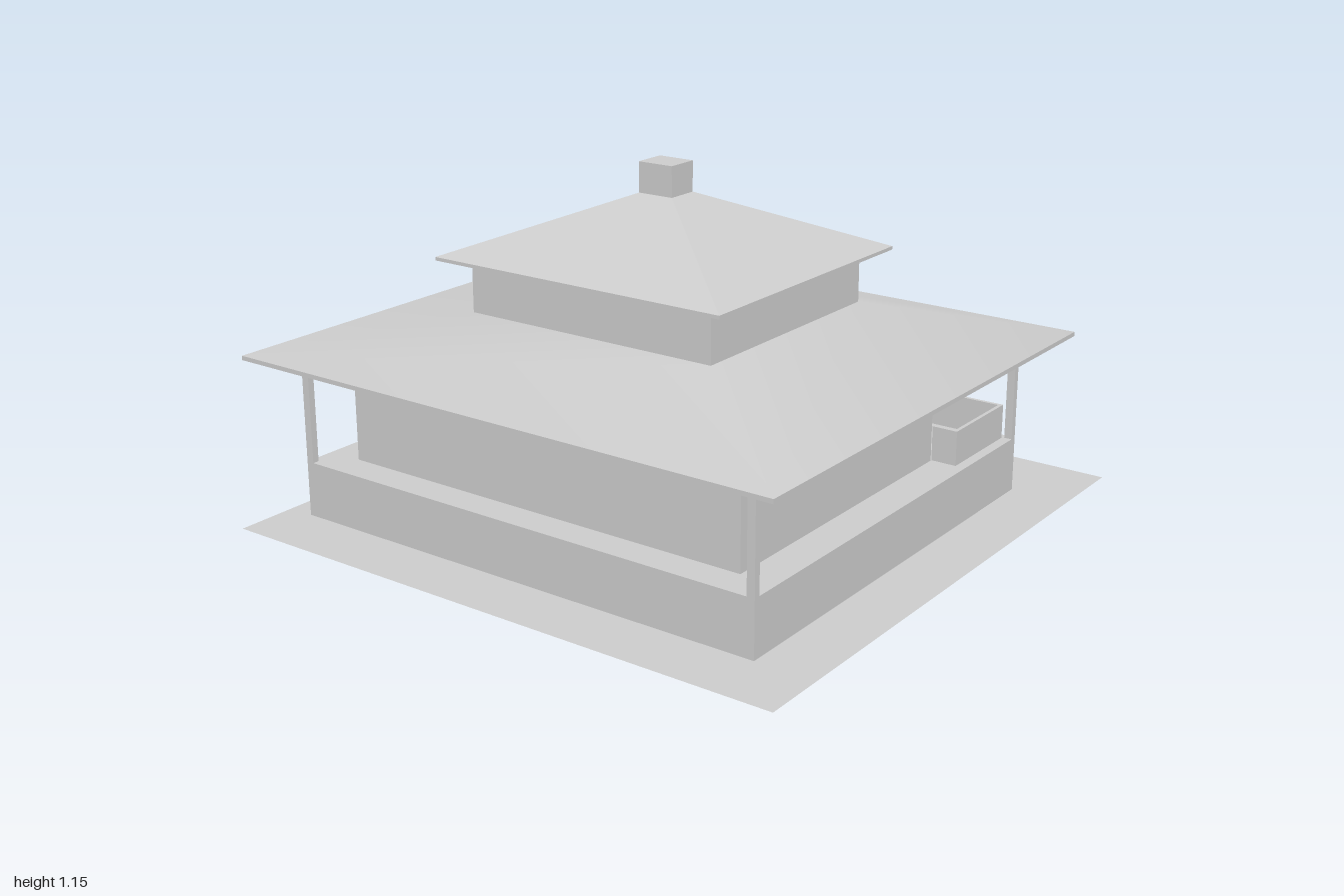
import * as THREE from 'three';
import { toCreasedNormals } from 'three/addons/utils/BufferGeometryUtils.js';

const grey = new THREE.MeshStandardMaterial({ color: 0xcccccc });
const greyDouble = new THREE.MeshStandardMaterial({ color: 0xcccccc, side: THREE.DoubleSide });

// Box given by its min and max on each axis
function box(name, x0, x1, y0, y1, z0, z1) {
  const mesh = new THREE.Mesh(new THREE.BoxGeometry(x1 - x0, y1 - y0, z1 - z0), grey);
  mesh.position.set((x0 + x1) / 2, (y0 + y1) / 2, (z0 + z1) / 2);
  mesh.name = name;
  return mesh;
}

// Hipped roof: flat soffit, thin fascia and four slopes; loops are [y, x0, x1, z half-width]
function hipRoof(name, eaveBottom, eaveTop, top) {
  const ring = ([y, x0, x1, z]) => [[x0, y, z], [x1, y, z], [x1, y, -z], [x0, y, -z]];
  const rings = [eaveBottom, eaveTop, top].map(ring);
  const pos = [];
  const quad = (a, b, c, d) => pos.push(...a, ...b, ...c, ...a, ...c, ...d);
  for (let r = 0; r < 2; r++) {
    for (let i = 0; i < 4; i++) {
      const j = (i + 1) % 4;
      quad(rings[r][i], rings[r][j], rings[r + 1][j], rings[r + 1][i]);
    }
  }
  quad(rings[0][3], rings[0][2], rings[0][1], rings[0][0]);
  const geo = new THREE.BufferGeometry();
  geo.setAttribute('position', new THREE.Float32BufferAttribute(pos, 3));
  const mesh = new THREE.Mesh(toCreasedNormals(geo, 0.5), grey);
  mesh.name = name;
  return mesh;
}

// Upright panel facing +x with rectangular holes [z0, z1, y0, y1]
function panel(name, x0, x1, y0, y1, z0, z1, holes) {
  const rect = (target, a, b, c, d) => {
    target.moveTo(-b, c).lineTo(-a, c).lineTo(-a, d).lineTo(-b, d).closePath();
    return target;
  };
  const shape = rect(new THREE.Shape(), z0, z1, y0, y1);
  shape.holes = holes.map((h) => rect(new THREE.Path(), ...h));
  const geo = new THREE.ExtrudeGeometry(shape, { depth: x1 - x0, bevelEnabled: false });
  geo.rotateY(Math.PI / 2).translate(x0, 0, 0);
  const mesh = new THREE.Mesh(geo, grey);
  mesh.name = name;
  return mesh;
}

export function createModel() {
  const model = new THREE.Group();
  model.name = 'house';

  // Ground sheet
  const ground = new THREE.Mesh(new THREE.PlaneGeometry(2, 2), greyDouble);
  ground.rotation.x = -Math.PI / 2;
  ground.name = 'ground';
  model.add(ground);

  // Plinth and lower storey
  const floor = 0.217;
  const eave = 0.557;
  model.add(box('plinth', -0.855, 0.64, 0.037, floor, -0.843, 0.843));
  model.add(box('lowerWalls', -0.75, 0.297, floor, eave, -0.725, 0.725));

  // Entrance stairs
  const treads = [[0.722, floor], [0.802, 0.171], [0.886, 0.126], [0.973, 0.08]];
  let start = 0.64;
  for (const [end, top] of treads) {
    model.add(box('step', start, end, 0.037, top, -0.238, 0.238));
    start = end;
  }

  // Door with a thin surround
  model.add(box('door', 0.29, 0.299, floor, 0.5, -0.112, 0.112));
  model.add(panel('doorFrame', 0.29, 0.303, 0.222, 0.508, -0.12, 0.12, [[-0.112, 0.112, 0.228, 0.502]]));

  for (const s of [-1, 1]) {
    const span = (name, x0, x1, y0, y1, za, zb) =>
      model.add(box(name, x0, x1, y0, y1, Math.min(s * za, s * zb), Math.max(s * za, s * zb)));

    // Posts carrying the wide roof
    span('backPost', -0.855, -0.833, floor, eave, 0.817, 0.843);
    span('frontPost', 0.618, 0.64, floor, eave, 0.817, 0.843);
    span('entrancePost', 0.618, 0.64, floor, eave, 0.238, 0.25);

    // Porch parapet: front, side and the short return to the house
    span('parapetFront', 0.6, 0.612, floor, 0.33, 0.245, 0.81);
    span('parapetSide', 0.302, 0.612, floor, 0.33, 0.798, 0.81);
    span('parapetReturn', 0.302, 0.314, floor, 0.33, 0.725, 0.81);

    // Large porch window
    const zMid = s * 0.425;
    model.add(panel('windowFrame', 0.29, 0.316, 0.338, 0.508, zMid - 0.182, zMid + 0.182,
      [[zMid - 0.159, zMid + 0.159, 0.352, 0.502]]));
    model.add(box('windowPane', 0.29, 0.303, 0.345, 0.505, zMid - 0.17, zMid + 0.17));
  }

  // Wide lower roof
  model.add(hipRoof('lowerRoof', [0.555, -0.973, 0.757, 0.975], [0.569, -0.973, 0.757, 0.975],
    [0.687, -0.5, 0.297, 0.447]));

  // Upper storey with three recessed windows
  model.add(box('upperWalls', -0.5, 0.257, 0.66, 0.858, -0.447, 0.447));
  const holes = [-0.295, 0, 0.3].map((z) => [z - 0.069, z + 0.069, 0.733, 0.808]);
  model.add(panel('upperFrontWall', 0.257, 0.297, 0.66, 0.858, -0.447, 0.447, holes));

  // Upper roof and chimney
  model.add(hipRoof('upperRoof', [0.855, -0.575, 0.358, 0.528], [0.866, -0.575, 0.358, 0.528],
    [1.053, -0.163, -0.056, 0.062]));
  model.add(box('chimney', -0.163, -0.056, 1.03, 1.15, -0.062, 0.062));

  return model;
}
